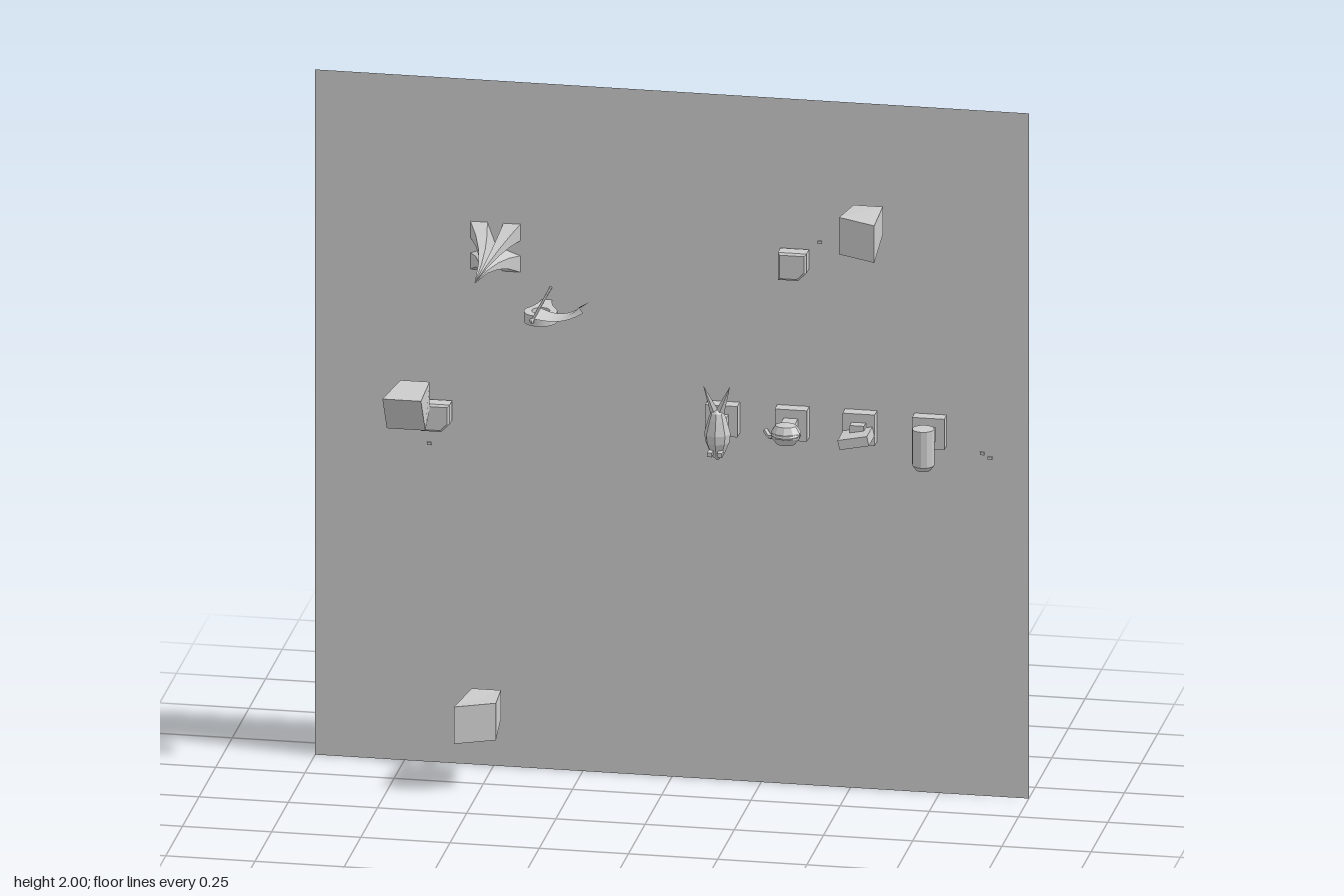
import * as THREE from 'three';

const WALL = -0.155;
const mat = new THREE.MeshStandardMaterial({ color: 0xcccccc, flatShading: true });
const thin = new THREE.MeshStandardMaterial({ color: 0xcccccc, side: THREE.DoubleSide });

export function createModel() {
  const root = new THREE.Group();
  const add = (name, geo, x = 0, y = 0, z = 0, parent = root, m = mat) => {
    const mesh = new THREE.Mesh(geo, m);
    mesh.name = name;
    mesh.position.set(x, y, z);
    parent.add(mesh);
    return mesh;
  };
  const group = (name, x, y) => {
    const g = new THREE.Group();
    g.name = name;
    g.position.set(x, y, 0);
    root.add(g);
    return g;
  };
  const box = (w, h, d) => new THREE.BoxGeometry(w, h, d);

  // Wall panel
  add('wall', new THREE.PlaneGeometry(2, 2), 0, 1, WALL, root, thin);

  // Tapered projecting boxes with a slanted front face
  const taperedBox = (x, y, slopeX, slopeY, zMid) => {
    const g = group('taperedBox', x, y);
    const geo = box(2, 2, 2), p = geo.attributes.position;
    for (let i = 0; i < p.count; i++) {
      const px = p.getX(i), py = p.getY(i), front = p.getZ(i) > 0;
      const s = front ? 0.054 : 0.041;
      p.setXYZ(i, px * s, py * s, front ? zMid + px * slopeX + py * slopeY : -0.1);
    }
    geo.computeVertexNormals();
    add('boxBody', geo, 0, 0, 0, g);
    add('boxNeck', box(0.02, 0.02, 0.06), 0, 0, -0.126, g);
  };
  taperedBox(-0.51, 0.2, -0.026, 0, 0.072);
  taperedBox(0.56, 1.68, 0.026, 0, 0.072);
  taperedBox(-0.71, 1.087, 0, 0.033, 0.067);

  // Small bevelled blocks with one cut corner
  for (const [x, y] of [[0.345, 1.525], [-0.655, 1.02]]) {
    const pts = [[-0.034, -0.034], [0.014, -0.034], [0.034, -0.014], [0.034, 0.034], [-0.034, 0.034]];
    const shape = new THREE.Shape(pts.map(([a, b]) => new THREE.Vector2(a, b)));
    add('cutCornerBlock', new THREE.ExtrudeGeometry(shape, {
      depth: 0.038, bevelThickness: 0.006, bevelSize: 0.006, bevelSegments: 1,
    }), x, y, WALL + 0.006);
  }

  // Four-armed flare drawn out to a long point
  const rows = [[-0.155, 0.07], [-0.11, 0.047], [-0.05, 0.028], [0.03, 0.013], [0.155, 0.0005]];
  const star = [];
  for (let q = 0; q < 4; q++) {
    const c = Math.cos(q * Math.PI / 2), s = Math.sin(q * Math.PI / 2);
    for (const [a, b] of [[0.12, 0], [1, 0.32], [1, 1], [0.32, 1]]) star.push([a * c - b * s, a * s + b * c]);
  }
  const pos = [], idx = [], n = star.length;
  rows.forEach(([z, r], k) => star.forEach(([a, b], i) => {
    pos.push(a * r, b * r, z);
    if (k < rows.length - 1) {
      const j = (i + 1) % n, o = k * n;
      idx.push(o + i, o + j, o + n + j, o + i, o + n + j, o + n + i);
    }
  }));
  const flare = new THREE.BufferGeometry();
  flare.setAttribute('position', new THREE.Float32BufferAttribute(pos, 3));
  flare.setIndex(idx);
  flare.computeVertexNormals();
  add('pointedFlare', flare, -0.495, 1.515);

  // Flat teardrop bracket with a round hole
  const drop = new THREE.Shape();
  drop.moveTo(-0.014, 0.155);
  drop.quadraticCurveTo(-0.02, 0.11, -0.04, 0.08);
  drop.absarc(0, 0.058, 0.046, Math.PI * 0.84, Math.PI * 2.16, false);
  drop.quadraticCurveTo(0.02, 0.11, 0.014, 0.155);
  const hole = new THREE.Path();
  hole.absarc(0, 0.062, 0.025, 0, Math.PI * 2, true);
  drop.holes.push(hole);
  const dropGeo = new THREE.ExtrudeGeometry(drop, { depth: 0.03, bevelEnabled: false, curveSegments: 14 });
  dropGeo.rotateX(-Math.PI / 2);
  add('ringBracket', dropGeo, -0.35, 1.34, 0);

  // Flag on a horizontal pole
  const flag = group('flag', -0.34, 1.405);
  add('flagPole', new THREE.CylinderGeometry(0.004, 0.004, 0.28, 8).rotateX(Math.PI / 2), 0, 0, -0.015, flag);
  add('flagFinial', new THREE.SphereGeometry(0.008, 8, 6), 0, 0, 0.126, flag);
  const cloth = new THREE.PlaneGeometry(1, 1, 12, 6), cp = cloth.attributes.position;
  for (let i = 0; i < cp.count; i++) {
    const u = cp.getX(i) + 0.5, v = cp.getY(i);
    const x = 0.14 * u - 0.02 * u ** 3 * (1 - Math.abs(v) * 2);
    const y = -0.017 * Math.sin(Math.min(u * 1.5, 1) * Math.PI * 0.5) + 0.042 * u ** 2.5;
    cp.setXYZ(i, x, y, 0.06 - v * (0.098 - 0.03 * Math.sin(u * Math.PI)));
  }
  cloth.computeVertexNormals();
  add('flagCloth', cloth, 0, 0, 0, flag, thin);

  // Row of mounts, each holding a different ornament
  const mount = (name, x, neck = 0.05) => {
    const g = group(name, x, 1.06);
    add('mountBlock', box(0.09, 0.09, 0.037), 0, 0, WALL + 0.0185, g);
    add('mountNeck', box(0.04, 0.04, neck), 0, 0, -0.12 + neck / 2, g);
    return g;
  };
  const lathe = (pts, sides) => new THREE.LatheGeometry(pts.map(([r, y]) => new THREE.Vector2(r, y)), sides);

  // Pointed body with two long ears
  const eared = mount('earedOrnament', 0.145);
  add('earedBody', lathe([[0, -0.095], [0.018, -0.078], [0.034, -0.04], [0.037, -0.015], [0.026, 0.025],
    [0.019, 0.045], [0, 0.06]], 8), 0, 0, -0.06, eared);
  for (const s of [-1, 1]) {
    const ear = add('ear', new THREE.ConeGeometry(0.014, 0.095, 4), s * 0.021, 0.083, -0.052, eared);
    ear.rotation.set(0.12, 0, -s * 0.36);
    ear.scale.z = 0.6;
    add('foot', box(0.014, 0.012, 0.03), s * 0.014, -0.065, -0.03, eared);
  }

  // Flattened vessel with rim and side spout
  const vessel = mount('vesselOrnament', 0.34);
  add('vesselBody', lathe([[0, -0.03], [0.026, -0.028], [0.042, -0.008], [0.042, 0.008], [0.03, 0.026], [0, 0.03]], 10),
    0, 0, -0.043, vessel).scale.z = 0.8;
  add('vesselRim', new THREE.TorusGeometry(0.036, 0.006, 6, 12).rotateX(Math.PI / 2), 0, 0, -0.043, vessel);
  const spout = new THREE.CatmullRomCurve3([[-0.03, -0.012, -0.06], [-0.05, -0.018, -0.07], [-0.064, -0.004, -0.08]]
    .map((a) => new THREE.Vector3(...a)));
  add('vesselSpout', new THREE.TubeGeometry(spout, 6, 0.008, 6), 0, 0, 0, vessel);

  // Tilted slab
  const slab = mount('slabOrnament', 0.53, 0.03);
  add('slab', box(0.084, 0.028, 0.085), 0, -0.012, -0.078, slab).rotation.z = 0.2;

  // Upright cylinder with rounded foot
  const post = mount('postOrnament', 0.725);
  add('post', lathe([[0, -0.085], [0.02, -0.08], [0.031, -0.065], [0.031, 0.04], [0, 0.04]], 12), 0, 0, -0.044, post);

  // Tiny studs on the wall
  for (const [x, y] of [[0.87, 1.0], [0.892, 0.988], [-0.68, 0.93], [0.415, 1.587]])
    add('wallStud', box(0.012, 0.008, 0.006), x, y, WALL + 0.003);

  return root;
}
